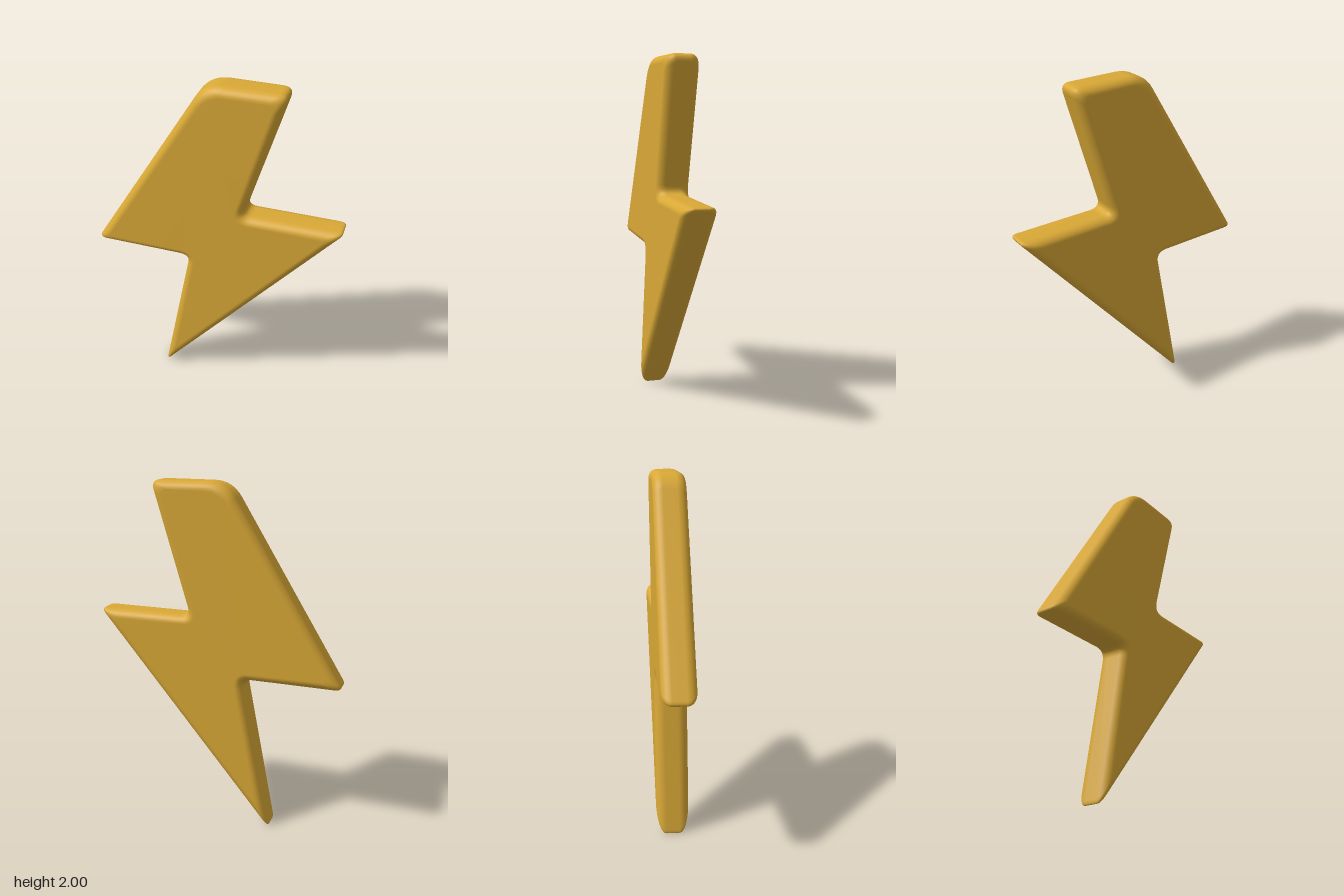
import * as THREE from 'three';

// Bolt corners, counter-clockwise: x, y, length trimmed off each edge by rounding
const CORNERS = [
  [-0.333, -0.02, 0.045], // bottom tip
  [0.729, 1.25, 0.036],   // right tip
  [0.16, 1.25, 0.06],     // upper notch
  [0.385, 2, 0.055],      // top right
  [-0.055, 2, 0.1],       // top left
  [-0.729, 0.905, 0.036], // left tip
  [-0.154, 0.905, 0.06],  // lower notch
];
const HALF_DEPTH = 0.093;
const BEVEL_IN = 0.045;
const BEVEL_Z = 0.055;
const CORNER_STEPS = 8;
const BEVEL_STEPS = 8;

// Outline moved inwards by a distance, with mitred then rounded corners
function outline(inset) {
  const count = CORNERS.length;
  const points = CORNERS.map(([x, y]) => new THREE.Vector2(x, y));
  const edges = points.map((p, i) => points[(i + 1) % count].clone().sub(p).normalize());
  const ring = [];
  points.forEach((p, i) => {
    const a = edges[(i + count - 1) % count];
    const b = edges[i];
    const miter = new THREE.Vector2(-a.y - b.y, a.x + b.x).multiplyScalar(inset / (1 + a.dot(b)));
    const corner = p.clone().add(miter);
    const concave = a.cross(b) < 0;
    const cut = CORNERS[i][2] + (concave ? inset : 0);
    const curve = new THREE.QuadraticBezierCurve(
      corner.clone().addScaledVector(a, -cut),
      corner,
      corner.clone().addScaledVector(b, cut),
    );
    ring.push(...curve.getPoints(CORNER_STEPS));
  });
  return ring;
}

// Pillow-edged slab: outline rings stacked from back to front, with both faces capped
function boltGeometry() {
  const layers = [];
  for (let i = 0; i <= BEVEL_STEPS; i++) {
    const angle = (i / BEVEL_STEPS) * Math.PI / 2;
    layers.push({
      inset: BEVEL_IN * (1 - Math.sin(angle)),
      z: -HALF_DEPTH + BEVEL_Z * (1 - Math.cos(angle)),
    });
  }
  layers.push(...layers.map(({ inset, z }) => ({ inset, z: -z })).reverse());

  const positions = [];
  const indices = [];
  const rings = layers.map(({ inset }) => outline(inset));
  const n = rings[0].length;
  rings.forEach((ring, k) => ring.forEach((p) => positions.push(p.x, p.y, layers[k].z)));

  for (let k = 0; k < rings.length - 1; k++) {
    for (let i = 0; i < n; i++) {
      const j = (i + 1) % n;
      const a = k * n + i, b = k * n + j;
      indices.push(a, b, b + n, a, b + n, a + n);
    }
  }
  const front = (rings.length - 1) * n;
  for (const [a, b, c] of THREE.ShapeUtils.triangulateShape(rings[0], [])) {
    indices.push(c, b, a, front + a, front + b, front + c);
  }

  const geometry = new THREE.BufferGeometry();
  geometry.setAttribute('position', new THREE.Float32BufferAttribute(positions, 3));
  geometry.setIndex(indices);
  geometry.computeVertexNormals();
  return geometry;
}

export function createModel() {
  const gold = new THREE.MeshStandardMaterial({ color: 0xd9a836 });
  gold.name = 'gold';
  const bolt = new THREE.Mesh(boltGeometry(), gold);
  bolt.name = 'lightningBolt';
  const model = new THREE.Group();
  model.name = 'lightningBoltModel';
  model.add(bolt);
  return model;
}
